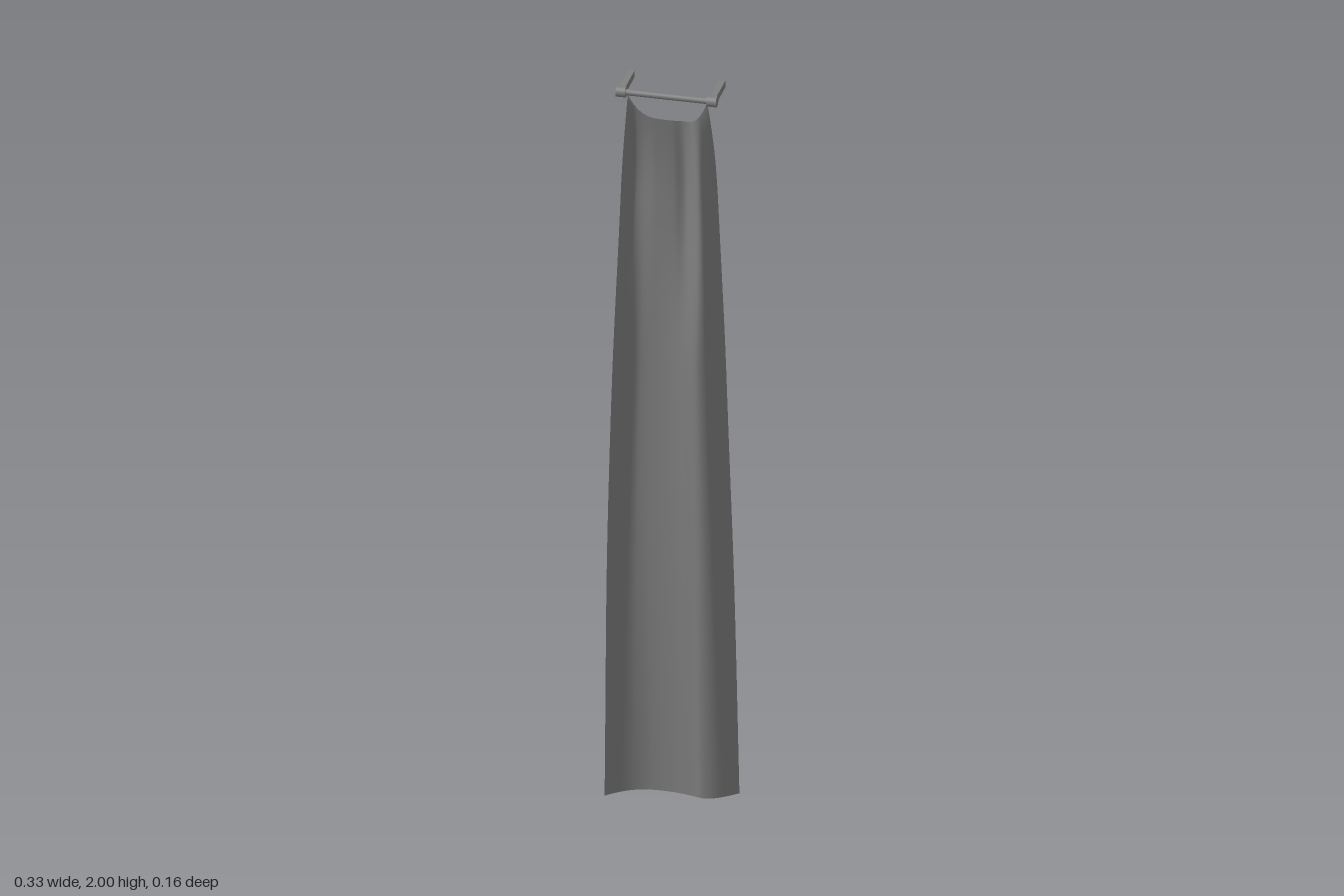
import * as THREE from 'three';

const ROD_Y = 1.986, ROD_Z = 0.025, HOOK_Y = 1.984;
const ENDS = [-0.134, 0.104];

// smooth curve through [a, b] points, read at a
function lookup(pts, a) {
  const i = Math.max(1, Math.min(pts.length - 1, pts.findIndex((q) => q[0] >= a)));
  const [a0, b0] = pts[i - 1], [a1, b1] = pts[i];
  const slope = (k) => {
    const lo = pts[Math.max(0, k - 1)], hi = pts[Math.min(pts.length - 1, k + 1)];
    return (hi[1] - lo[1]) / (hi[0] - lo[0]) * (a1 - a0);
  };
  const t = THREE.MathUtils.clamp((a - a0) / (a1 - a0), 0, 1), t2 = t * t, t3 = t2 * t;
  return b0 * (2 * t3 - 3 * t2 + 1) + slope(i - 1) * (t3 - 2 * t2 + t)
    + b1 * (3 * t2 - 2 * t3) + slope(i) * (t3 - t2);
}

// x of the two side edges by height
const RIGHT_EDGE = [[0, -0.168], [0.6, -0.161], [1, -0.151], [1.4, -0.138], [1.8, -0.124], [1.984, -0.117]];
const LEFT_EDGE = [[0, 0.166], [0.6, 0.152], [1, 0.138], [1.4, 0.124], [1.8, 0.107], [1.984, 0.091]];
// z across the cloth (0 to 1) at the hem, at mid height and below the rim
const HEM = [[0, 0.066], [0.04, 0.054], [0.11, 0.035], [0.2, 0.019], [0.32, 0.01], [0.5, 0.013],
  [0.65, 0.024], [0.74, 0.033], [0.83, 0.028], [0.92, 0.01], [1, -0.013]];
const MIDDLE = [[0, 0.08], [0.03, 0.057], [0.08, 0.03], [0.135, 0.012], [0.2, 0.004], [0.35, 0.005],
  [0.525, 0.015], [0.67, 0.031], [0.77, 0.041], [0.845, 0.035], [0.9, 0.019], [0.95, 0], [1, -0.014]];
const UPPER = [[0, 0.06], [0.035, 0.02], [0.1, -0.004], [0.32, 0.002], [0.53, 0.003], [0.65, -0.002],
  [0.74, 0.016], [0.81, 0.038], [0.87, 0.039], [0.94, 0.018], [1, -0.002]];

// hanging cloth: sagging rim at the top, S-shaped hem at the bottom
function clothGeometry() {
  const cols = 80, rows = 70;
  const geo = new THREE.PlaneGeometry(1, 1, cols, rows);
  const pos = geo.attributes.position;
  const { lerp, smoothstep } = THREE.MathUtils;
  for (let j = 0; j <= rows; j++) {
    const v = (j / rows) ** 1.6;
    for (let i = 0; i <= cols; i++) {
      const f = i / cols;
      const rim = HOOK_Y - 0.069 * (1 - Math.abs(2 * f - 1) ** 4);
      const y = lerp(rim, 0.008 * f, v);
      const x = lerp(lookup(RIGHT_EDGE, y), lookup(LEFT_EDGE, y), f);
      const lower = lerp(lookup(HEM, f), lookup(MIDDLE, f), smoothstep(y, 0, 1.1));
      const section = lerp(lower, lookup(UPPER, f), smoothstep(y, 1.2, 1.74));
      const open = Math.sin(Math.min((HOOK_Y - y) / 0.28, 1) * Math.PI / 2);
      pos.setXYZ(j * (cols + 1) + i, x, y, lerp(ROD_Z, section, open));
    }
  }
  geo.computeVertexNormals();
  return geo;
}

export function createModel() {
  const group = new THREE.Group();
  const metal = new THREE.MeshStandardMaterial({ color: 0x808080 });
  const fabric = new THREE.MeshStandardMaterial({ color: 0x808080, side: THREE.DoubleSide });
  const add = (name, geo, mat, x, y, z) => {
    const mesh = new THREE.Mesh(geo, mat);
    mesh.name = name;
    mesh.position.set(x, y, z);
    group.add(mesh);
  };

  add('cloth', clothGeometry(), fabric, 0, 0, 0);

  // crossbar
  const length = ENDS[1] - ENDS[0];
  add('rod', new THREE.CylinderGeometry(0.008, 0.008, length, 20).rotateZ(Math.PI / 2), metal,
    (ENDS[0] + ENDS[1]) / 2, ROD_Y, ROD_Z);

  // end caps and wall arms
  ENDS.forEach((x, i) => {
    const side = i ? 'left' : 'right';
    add(side + 'Cap', new THREE.CylinderGeometry(0.014, 0.014, 0.025, 20).rotateZ(Math.PI / 2), metal, x, ROD_Y, ROD_Z);
    add(side + 'Arm', new THREE.BoxGeometry(0.017, 0.019, 0.1), metal, x, ROD_Y, -0.033);
  });
  return group;
}
